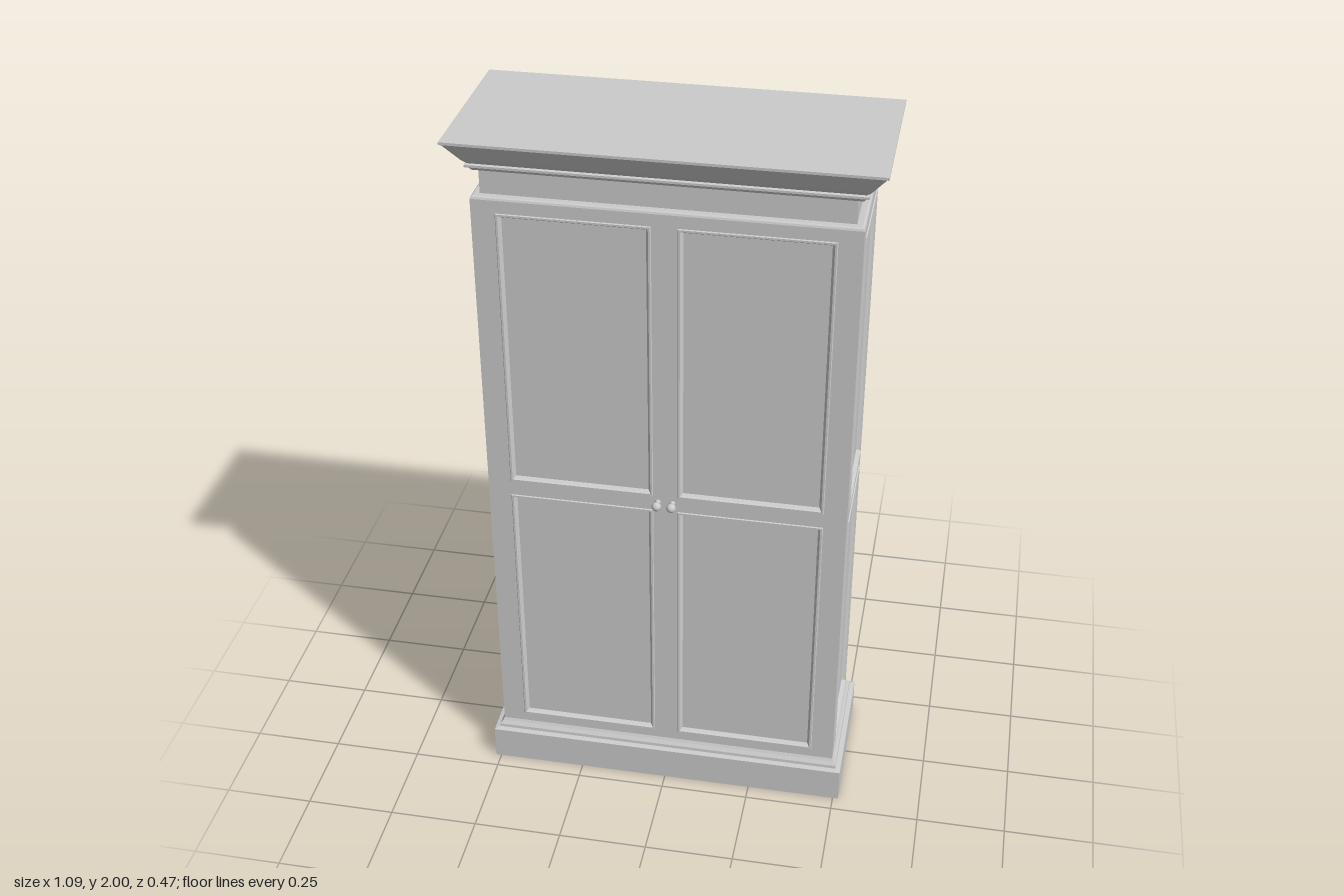
import * as THREE from 'three';

const HALF_W = 0.49, HALF_D = 0.18;   // cabinet body
const BODY_Y0 = 0.125, BODY_Y1 = 1.83;
const RECESS = 0.012;
const mat = new THREE.MeshStandardMaterial({ color: 0xcccccc });

function mesh(geo, name) {
  const m = new THREE.Mesh(geo, mat);
  m.name = name;
  return m;
}

// Mitred rectangular moulding: profile of [offset outward, height], capped at the ends
function rectLoft(hw, hd, profile, bottomCap = true) {
  const rings = profile.map(([o, y]) => [
    [-hw - o, y, hd + o], [hw + o, y, hd + o], [hw + o, y, -hd - o], [-hw - o, y, -hd - o],
  ]);
  const pos = [];
  const quad = (a, b, c, d) => pos.push(...a, ...b, ...c, ...a, ...c, ...d);
  for (let i = 0; i + 1 < rings.length; i++) {
    for (let k = 0; k < 4; k++) {
      const n = (k + 1) % 4;
      quad(rings[i][k], rings[i][n], rings[i + 1][n], rings[i + 1][k]);
    }
  }
  quad(...rings[rings.length - 1]);
  if (bottomCap) quad(...[...rings[0]].reverse());
  const g = new THREE.BufferGeometry();
  g.setAttribute('position', new THREE.Float32BufferAttribute(pos, 3));
  g.computeVertexNormals();
  return g;
}

function rectPath(P, x0, y0, x1, y1) {
  const p = new P();
  p.moveTo(x0, y0);
  p.lineTo(x1, y0);
  p.lineTo(x1, y1);
  p.lineTo(x0, y1);
  p.closePath();
  return p;
}

// One face of the cabinet: rails and stiles with beaded, recessed panels
function panelledFace(name, halfWidth, dist, columns) {
  const face = new THREE.Group();
  face.name = name;
  const rows = [[0.16, 0.945], [0.995, 1.793]];
  const frame = rectPath(THREE.Shape, -halfWidth, BODY_Y0, halfWidth, BODY_Y1);
  for (const [x0, x1] of columns) {
    for (const [y0, y1] of rows) {
      frame.holes.push(rectPath(THREE.Path, x0, y0, x1, y1));
      const g = rectLoft((x1 - x0) / 2, (y1 - y0) / 2,
        [[0.003, 0], [0.001, 0.003], [-0.004, 0.003], [-0.006, -0.002], [-0.011, -0.009]], false);
      g.rotateX(Math.PI / 2);
      const panel = mesh(g, 'panel');
      panel.position.set((x0 + x1) / 2, (y0 + y1) / 2, dist);
      face.add(panel);
    }
  }
  const railsAndStiles = mesh(
    new THREE.ExtrudeGeometry(frame, { depth: RECESS, bevelEnabled: false }), 'railsAndStiles');
  railsAndStiles.position.z = dist - RECESS;
  face.add(railsAndStiles);
  return face;
}

export function createModel() {
  const cabinet = new THREE.Group();
  cabinet.name = 'cabinet';

  // Plinth with stepped moulding
  cabinet.add(mesh(rectLoft(HALF_W, HALF_D, [
    [0.026, 0], [0.026, 0.1], [0.012, 0.103], [0.011, 0.112], [0.004, 0.122], [0.001, 0.128], [0, 0.13],
  ]), 'plinth'));

  // Inner carcase behind the panelled faces
  cabinet.add(mesh(rectLoft(HALF_W, HALF_D, [[-RECESS, 0.12], [-RECESS, 1.835]]), 'carcase'));

  // Panelled front, back and sides
  const doors = [[-0.425, -0.036], [0.036, 0.425]];
  const sidePanel = [[-0.1375, 0.1375]];
  cabinet.add(panelledFace('frontDoors', HALF_W, HALF_D, doors));
  const back = panelledFace('backPanels', HALF_W, HALF_D, doors);
  back.rotation.y = Math.PI;
  cabinet.add(back);
  for (const s of [-1, 1]) {
    const side = panelledFace(s > 0 ? 'leftSide' : 'rightSide', HALF_D - RECESS, HALF_W, sidePanel);
    side.rotation.y = s * Math.PI / 2;
    cabinet.add(side);
  }

  // Shoulder, frieze and flared crown
  cabinet.add(mesh(rectLoft(HALF_W, HALF_D, [
    [0, 1.83], [-0.002, 1.835], [-0.006, 1.838], [-0.021, 1.838], [-0.021, 1.905],
  ]), 'frieze'));
  cabinet.add(mesh(rectLoft(HALF_W, HALF_D, [
    [-0.021, 1.903], [-0.007, 1.906], [-0.004, 1.912], [0.007, 1.918], [0.007, 1.924], [0, 1.926],
    [0.012, 1.939], [0.047, 1.99], [0.053, 1.993], [0.053, 2],
  ]), 'crown'));

  // Pair of round door knobs
  const knobProfile = [[0, 0], [0.009, 0], [0.009, 0.002], [0.005, 0.004], [0.005, 0.011]]
    .map(([r, y]) => new THREE.Vector2(r, y));
  for (let i = 1; i <= 10; i++) {
    const a = 0.4 + (Math.PI - 0.4) * i / 10;
    knobProfile.push(new THREE.Vector2(Math.max(0, 0.013 * Math.sin(a)), 0.023 - 0.013 * Math.cos(a)));
  }
  const knobGeo = new THREE.LatheGeometry(knobProfile, 20).rotateX(Math.PI / 2);
  for (const s of [-1, 1]) {
    const knob = mesh(knobGeo, 'knob');
    knob.position.set(s * 0.02, 0.975, HALF_D);
    cabinet.add(knob);
  }
  return cabinet;
}
